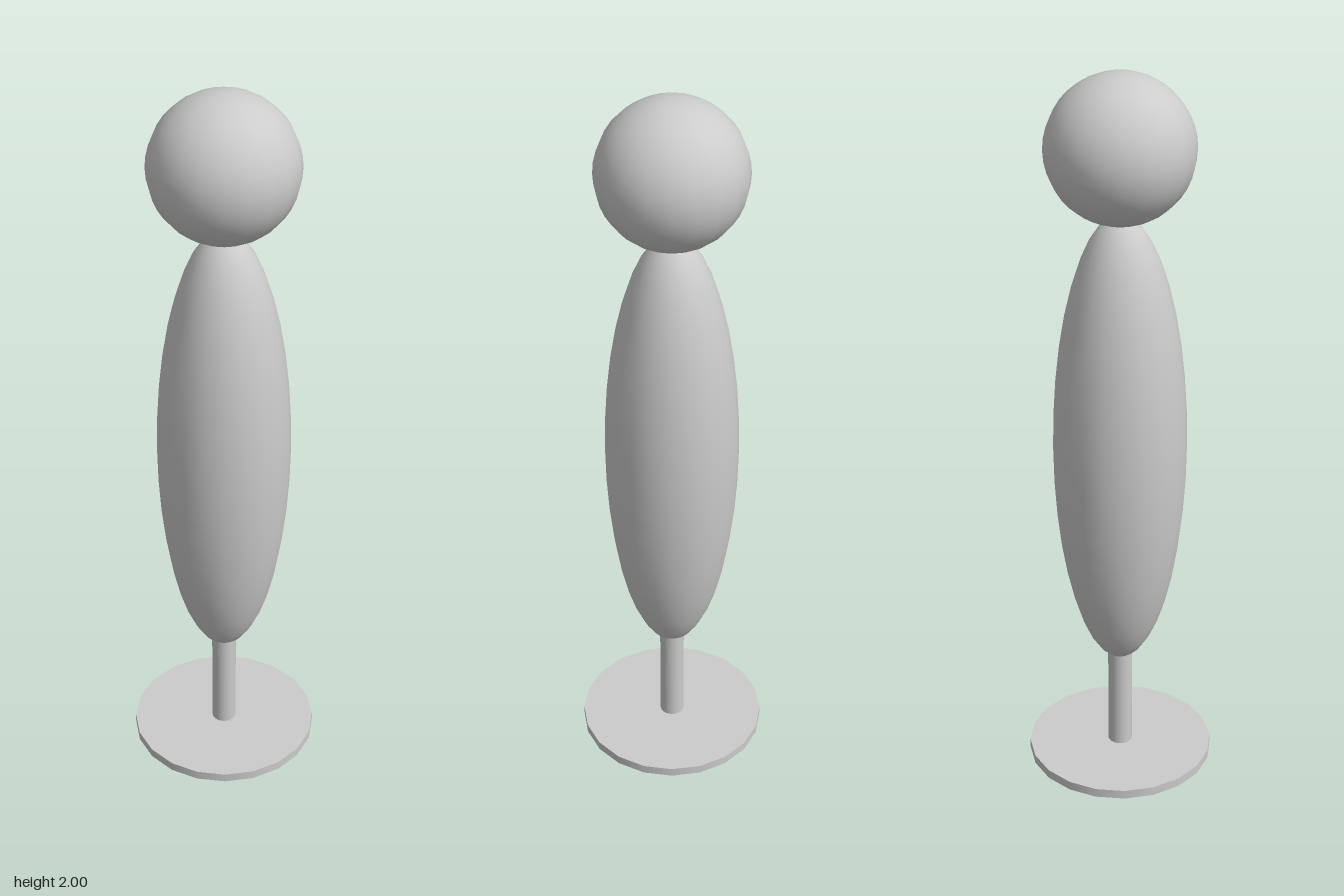
import * as THREE from 'three';

const SIDES = 20;

export function createModel() {
  const model = new THREE.Group();
  const material = new THREE.MeshStandardMaterial({ color: 0xcccccc });

  const add = (name, geometry, y) => {
    const mesh = new THREE.Mesh(geometry, material);
    mesh.name = name;
    mesh.position.y = y;
    model.add(mesh);
    return mesh;
  };

  // Flat round foot and the thin post standing on it
  add('base', new THREE.CylinderGeometry(0.26, 0.26, 0.026, SIDES), 0.013);
  add('post', new THREE.CylinderGeometry(0.034, 0.034, 0.31, SIDES), 0.175);

  // Tall ellipsoid body
  const body = new THREE.SphereGeometry(1, SIDES, SIDES).scale(0.18, 0.66, 0.18);
  add('body', body, 0.97);

  // Ball head resting on the body
  add('head', new THREE.SphereGeometry(0.195, SIDES, SIDES), 1.805);

  return model;
}
